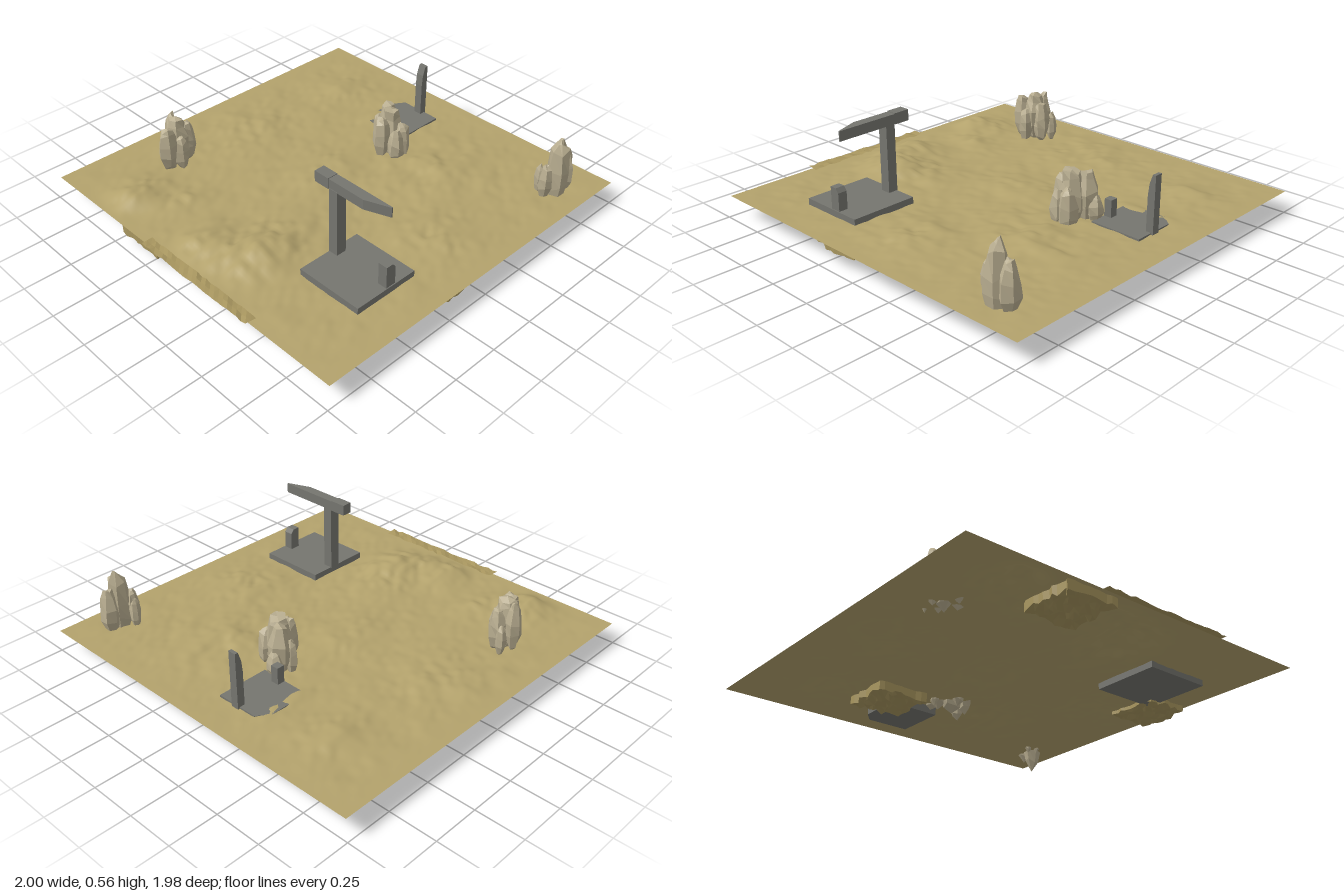
import * as THREE from 'three';

const mat = (color, extra = {}) => new THREE.MeshStandardMaterial({ color, ...extra });
const sand = mat(0xb3a26c, { side: THREE.DoubleSide });
const sandFlat = mat(0xa8965f, { side: THREE.DoubleSide, flatShading: true });
const stone = mat(0xb8ad90, { flatShading: true });
const concrete = mat(0x75756f, { flatShading: true });

// repeatable hash in 0..1, the same for coincident points
function hash(a, b, c = 0) {
  const s = Math.sin(Math.round(a * 1000) * 12.9898 + Math.round(b * 1000) * 78.233 + Math.round(c * 1000) * 37.719) * 43758.5453;
  return s - Math.floor(s);
}

function noise(x, z) {
  const i = Math.floor(x), j = Math.floor(z);
  const u = THREE.MathUtils.smoothstep(x - i, 0, 1), v = THREE.MathUtils.smoothstep(z - j, 0, 1);
  const lerp = THREE.MathUtils.lerp;
  return lerp(lerp(hash(i, j), hash(i + 1, j), u), lerp(hash(i, j + 1), hash(i + 1, j + 1), u), v);
}

// mounds: x, z, radius x, radius z, height
const mounds = [
  [-0.6, 0.16, 0.22, 0.15, 0.055], [-0.82, -0.05, 0.15, 0.14, 0.035],
  [-0.8, -0.58, 0.18, 0.11, 0.045], [-0.62, -0.38, 0.13, 0.07, 0.02],
  [0.62, -0.58, 0.18, 0.11, 0.025], [0.66, -0.28, 0.16, 0.06, 0.012],
  [0, -0.65, 0.26, 0.18, 0.02], [0.02, -0.1, 0.2, 0.16, 0.018],
  [0.45, 0.3, 0.25, 0.2, 0.022], [0, 0.65, 0.18, 0.18, 0.022],
];

function groundHeight(x, z) {
  const edge = THREE.MathUtils.smoothstep(0.99 - Math.max(Math.abs(x - 0.01), Math.abs(z)), 0, 0.15);
  const lumps = 0.6 * noise(x * 9 + 20, z * 11 + 20) + 0.4 * noise(x * 24 + 50, z * 30 + 50);
  let h = 0;
  for (const [cx, cz, rx, rz, height] of mounds) {
    h += height * Math.exp(-(((x - cx) / rx) ** 2) - ((z - cz) / rz) ** 2);
  }
  return 0.12 + edge * (h * (0.5 + lumps) + (lumps - 0.5) * 0.014);
}

function add(group, name, geometry, material) {
  const mesh = new THREE.Mesh(geometry, material);
  mesh.name = name;
  group.add(mesh);
  return mesh;
}

function box(group, name, x0, x1, y0, y1, z0, z1) {
  const g = new THREE.BoxGeometry(x1 - x0, y1 - y0, z1 - z0);
  g.translate((x0 + x1) / 2, (y0 + y1) / 2, (z0 + z1) / 2);
  return add(group, name, g, concrete);
}

const prism = (points, depth) => new THREE.ExtrudeGeometry(
  new THREE.Shape(points.map(([a, b]) => new THREE.Vector2(a, b))), { depth, bevelEnabled: false });

// prism seen from above: points are x, z
function planPrism(group, name, points, y0, y1) {
  const g = prism(points.map(([x, z]) => [x, -z]), y1 - y0);
  g.rotateX(-Math.PI / 2).translate(0, y0, 0);
  return add(group, name, g, concrete);
}

// prism seen from the front: points are x, y
function frontPrism(group, name, points, z0, z1) {
  return add(group, name, prism(points, z1 - z0).translate(0, 0, z0), concrete);
}

// faceted boulder pillar, jittered by position so that seams stay closed
function boulder(group, x, z, y0, y1, r, cap = 0.4, sides = 6) {
  const h = y1 - y0;
  const profile = [[0, 0], [0.6, 0.14], [0.98, 0.38], [1, 0.62], [0.72, 0.86], [cap, 0.97], [0, 1]];
  const g = new THREE.LatheGeometry(profile.map(([a, b]) => new THREE.Vector2(a * r, b * h)), sides, x * 31 + z * 17);
  const p = g.attributes.position;
  for (let i = 0; i < p.count; i++) {
    const a = p.getX(i), b = p.getY(i), c = p.getZ(i);
    const inner = b > 0.001 && b < h - 0.001;
    const s = 0.85 + 0.3 * hash(a + x, b, c + z);
    p.setXYZ(i, x + a * s, y0 + b + (inner ? (hash(c, a, b + x) - 0.5) * h * 0.1 : 0), z + c * s);
  }
  add(group, 'boulder', g, stone);
}

export function createModel() {
  const model = new THREE.Group();

  // rolling desert floor
  const ground = new THREE.PlaneGeometry(1.98, 1.98, 120, 120).rotateX(-Math.PI / 2).translate(0.01, 0, 0);
  const p = ground.attributes.position;
  for (let i = 0; i < p.count; i++) p.setY(i, groundHeight(p.getX(i), p.getZ(i)));
  ground.computeVertexNormals();
  add(model, 'ground', ground, sand);

  // rough slabs hanging below the floor: x0, x1, z0, z1, bottom
  for (const [x0, x1, z0, z1, low] of [
    [-0.97, -0.69, -0.46, -0.19, 0.065], [0.38, 0.66, -0.46, -0.19, 0.065], [-0.33, -0.04, 0.72, 0.96, 0.085],
  ]) {
    const g = new THREE.BoxGeometry(x1 - x0, 0.11 - low, z1 - z0, 9, 1, 9);
    g.translate((x0 + x1) / 2, (0.11 + low) / 2, (z0 + z1) / 2);
    const q = g.attributes.position;
    for (let i = 0; i < q.count; i++) {
      const x = q.getX(i), y = q.getY(i), z = q.getZ(i);
      q.setXYZ(i, x + (hash(z, x) - 0.5) * 0.02, y + (y < 0.1 ? (hash(x, z) - 0.4) * 0.022 : 0), z + (hash(x, z, 1) - 0.5) * 0.02);
    }
    add(model, 'buriedSlab', g, sandFlat);
  }
  // ragged sand crust along the right edge
  const crust = new THREE.PlaneGeometry(0.06, 0.75, 2, 24).rotateX(-Math.PI / 2).translate(-0.97, 0.122, 0.12);
  const c = crust.attributes.position;
  for (let i = 0; i < c.count; i++) c.setY(i, 0.122 + 0.012 * hash(c.getX(i), c.getZ(i)));
  crust.computeVertexNormals();
  add(model, 'sandCrust', crust, sandFlat);

  // large ruin: slab, post, broken beam and stump
  const gate = new THREE.Group();
  gate.name = 'largeRuin';
  box(gate, 'foundation', -0.61, -0.25, 0.09, 0.155, 0.415, 0.78);
  box(gate, 'post', -0.428, -0.372, 0.15, 0.51, 0.412, 0.465);
  planPrism(gate, 'brokenBeam', [[-0.425, 0.4], [-0.425, 0.62], [-0.378, 0.745], [-0.372, 0.745], [-0.372, 0.4]], 0.505, 0.557);
  box(gate, 'beamEnd', -0.428, -0.372, 0.503, 0.56, 0.322, 0.408);
  frontPrism(gate, 'stump', [[-0.428, 0.15], [-0.372, 0.15], [-0.372, 0.25], [-0.39, 0.272], [-0.428, 0.272]], 0.725, 0.775);
  model.add(gate);

  // small ruin: chipped slab, broken post and stump
  const ruin = new THREE.Group();
  ruin.name = 'smallRuin';
  planPrism(ruin, 'chippedFoundation', [
    [0.53, -0.02], [0.81, -0.02], [0.81, -0.25], [0.75, -0.3], [0.57, -0.3], [0.53, -0.28],
  ], 0.08, 0.13);
  frontPrism(ruin, 'brokenPost', [[0.78, 0.1], [0.82, 0.1], [0.82, 0.42], [0.802, 0.42], [0.786, 0.37], [0.78, 0.31]], -0.155, -0.112);
  box(ruin, 'stump', 0.532, 0.573, 0.1, 0.22, -0.155, -0.112);
  model.add(ruin);

  // boulder clusters: x, z, bottom, top, radius, cap
  const clusters = {
    backRocks: [
      [-0.45, -0.695, 0.08, 0.39, 0.065, 0.6], [-0.525, -0.67, 0.1, 0.36, 0.055, 0.5], [-0.395, -0.685, 0.1, 0.34, 0.045, 0.5],
      [-0.363, -0.735, 0.1, 0.28, 0.028, 0.3], [-0.44, -0.75, 0.1, 0.38, 0.042, 0.5], [-0.47, -0.64, 0.1, 0.3, 0.042, 0.4],
    ],
    middleRocks: [
      [0.42, 0, 0.06, 0.37, 0.07, 0.6], [0.36, -0.01, 0.08, 0.34, 0.05, 0.5], [0.46, -0.06, 0.08, 0.36, 0.06, 0.5],
      [0.44, 0.055, 0.04, 0.3, 0.05, 0.4], [0.39, 0.065, 0.06, 0.28, 0.042, 0.4], [0.51, -0.07, 0.09, 0.25, 0.04, 0.3],
      [0.43, -0.1, 0.08, 0.29, 0.032, 0.4],
    ],
    frontRocks: [
      [0.74, 0.83, 0, 0.42, 0.06, 0.22], [0.8, 0.825, 0.07, 0.34, 0.05, 0.4],
      [0.675, 0.81, 0.09, 0.3, 0.035, 0.3], [0.69, 0.765, 0.09, 0.27, 0.028, 0.3],
    ],
  };
  for (const [name, rocks] of Object.entries(clusters)) {
    const group = new THREE.Group();
    group.name = name;
    rocks.forEach((rock) => boulder(group, ...rock));
    model.add(group);
  }
  return model;
}
